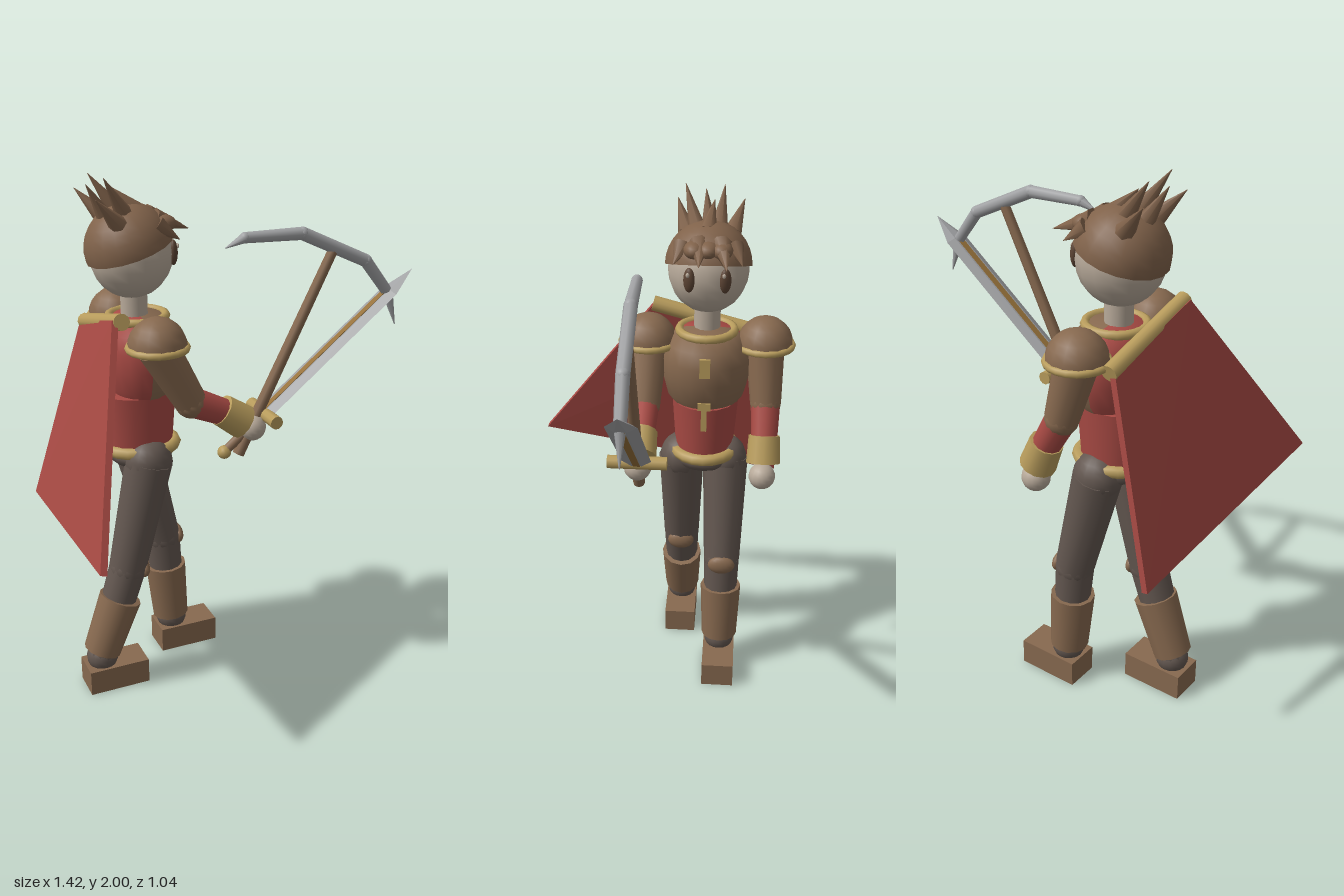
import * as THREE from 'three';
import { ConvexGeometry } from 'three/addons/geometries/ConvexGeometry.js';

const mat = (name, color) => Object.assign(new THREE.MeshStandardMaterial({ color }), { name });
const V = (x, y, z) => new THREE.Vector3(x, y, z);
const UP = V(0, 1, 0);

export function createModel() {
  const skin = mat('skin', 0xb8aa9a), brown = mat('leather brown', 0x87694f), hairMat = mat('hair brown', 0x80624a);
  const red = mat('cloth red', 0xa84a44), gold = mat('gold', 0xb89c5c), dark = mat('trouser grey', 0x635750);
  const steel = mat('steel', 0xa2a3a5), eyeMat = mat('eye brown', 0x5c4434), fullerMat = mat('bronze', 0x96713a);
  red.side = THREE.DoubleSide;
  brown.side = THREE.DoubleSide;
  hairMat.side = THREE.DoubleSide;
  const model = new THREE.Group();

  const add = (name, geo, m, pos) => {
    const mesh = new THREE.Mesh(geo, m);
    mesh.name = name;
    if (pos) mesh.position.copy(pos);
    model.add(mesh);
    return mesh;
  };
  const ball = (name, m, pos, sx, sy = sx, sz = sx) => {
    const b = add(name, new THREE.SphereGeometry(1, 16, 12), m, pos);
    b.scale.set(sx, sy, sz);
    return b;
  };
  // Tapered round bar from a to b
  const limb = (name, m, a, b, ra, rb = ra, sides = 12) => {
    const d = b.clone().sub(a);
    const c = add(name, new THREE.CylinderGeometry(rb, ra, d.length(), sides), m, a.clone().lerp(b, 0.5));
    c.quaternion.setFromUnitVectors(UP, d.normalize());
    return c;
  };
  const ring = (name, m, pos, R, tube, sx = 1) => {
    const r = add(name, new THREE.TorusGeometry(R, tube, 8, 20), m, pos);
    r.rotation.x = Math.PI / 2;
    r.scale.x = sx;
    return r;
  };
  const box = (name, m, pos, x, y, z) => add(name, new THREE.BoxGeometry(x, y, z), m, pos);

  // Torso: breastplate in front, cloth behind
  const profile = [[0.115, 1.17], [0.15, 1.22], [0.17, 1.3], [0.172, 1.37], [0.155, 1.43], [0.11, 1.48], [0, 1.49]]
    .map(([r, y]) => new THREE.Vector2(r, y));
  const plate = add('breastplate', new THREE.LatheGeometry(profile, 10, 0, Math.PI), brown, V(-0.32, 0, -0.185));
  plate.scale.x = 0.96;
  const back = add('backCloth', new THREE.LatheGeometry(profile, 10, Math.PI, Math.PI), red, V(-0.32, 0, -0.185));
  back.scale.x = 0.74;
  const waist = add('waist', new THREE.CylinderGeometry(0.13, 0.115, 0.21, 16), red, V(-0.325, 1.09, -0.185));
  waist.scale.x = 1.13;
  ring('belt', gold, V(-0.32, 0.975, -0.185), 0.118, 0.023, 1.12);
  ball('hips', dark, V(-0.32, 0.945, -0.185), 0.125, 0.06, 0.13);
  box('chestEmblem', gold, V(-0.158, 1.38, -0.185), 0.012, 0.075, 0.04);
  box('tabardBar', gold, V(-0.178, 1.215, -0.185), 0.02, 0.03, 0.05);
  box('tabardStrip', gold, V(-0.18, 1.165, -0.185), 0.015, 0.11, 0.022);

  // Neck and head
  limb('neck', skin, V(-0.325, 1.46, -0.185), V(-0.325, 1.58, -0.185), 0.05);
  ring('collar', gold, V(-0.315, 1.475, -0.185), 0.105, 0.017);
  const H = V(-0.33, 1.71, -0.185);
  ball('head', skin, H, 0.153, 0.162, 0.152);
  for (const s of [-1, 1]) {
    const eye = ball('eye', eyeMat, V(-0.193, 1.712, -0.185 + s * 0.066), 0.016, 0.046, 0.022);
    eye.rotation.y = -s * 0.4;
    ball('eyeHighlight', skin, V(-0.178, 1.735, -0.18 + s * 0.066), 0.005, 0.009, 0.007);
  }

  // Hair cap tilted back, with locks and spikes
  const cap = add('hairCap', new THREE.SphereGeometry(0.164, 18, 8, 0, Math.PI * 2, 0, Math.PI * 0.5), hairMat, V(-0.333, 1.725, -0.185));
  cap.rotation.z = 0.3;
  const spikes = [ // base x, y, z, tip x, y, z, radius
    [-0.36, 1.85, -0.14, -0.45, 1.995, -0.09, 0.035], [-0.36, 1.85, -0.22, -0.46, 1.99, -0.235, 0.035],
    [-0.4, 1.83, -0.27, -0.49, 1.93, -0.31, 0.035], [-0.4, 1.83, -0.1, -0.49, 1.93, -0.06, 0.035],
    [-0.41, 1.83, -0.185, -0.49, 1.965, -0.165, 0.035], [-0.31, 1.86, -0.18, -0.4, 1.95, -0.2, 0.035],
    [-0.25, 1.83, -0.23, -0.105, 1.78, -0.255, 0.04], [-0.25, 1.83, -0.15, -0.12, 1.785, -0.155, 0.04],
    [-0.26, 1.82, -0.09, -0.19, 1.77, -0.06, 0.035], [-0.26, 1.82, -0.28, -0.19, 1.77, -0.31, 0.035]];
  for (const [ax, ay, az, bx, by, bz, r] of spikes) limb('hairSpike', hairMat, V(ax, ay, az), V(bx, by, bz), r, 0.001, 7);
  for (const z of [-0.135, -0.185, -0.235]) ball('fringeLock', hairMat, V(-0.225, 1.815, z), 0.05, 0.032, 0.04);

  // Legs: right foot behind, left foot ahead
  const legs = [
    { z: -0.095, hip: [-0.32, 0.93], knee: [-0.42, 0.5], top: [-0.455, 0.375], low: [-0.54, 0.155], ankle: [-0.54, 0.13], pad: [-0.36, 0.49], foot: -0.49 },
    { z: -0.272, hip: [-0.31, 0.93], knee: [-0.21, 0.51], top: [-0.2, 0.38], low: [-0.183, 0.145], ankle: [-0.18, 0.13], pad: [-0.15, 0.51], foot: -0.125 }];
  for (const { z, hip, knee, top, low, ankle, pad, foot } of legs) {
    const P = ([x, y]) => V(x, y, z);
    ball('hipJoint', dark, P(hip), 0.092, 0.092, 0.085);
    limb('thigh', dark, P(knee), P(hip), 0.073, 0.09);
    ball('knee', dark, P(knee), 0.073);
    limb('shin', dark, P(ankle), P(knee), 0.06, 0.072);
    ball('kneePad', brown, P(pad), 0.025, 0.04, 0.055);
    limb('boot', brown, P(low), P(top), 0.073, 0.083);
    ball('ankle', dark, P(ankle), 0.062);
    box('foot', brown, V(foot, 0.05, z), 0.24, 0.1, 0.13);
  }

  // Arms with domed shoulder pads
  const arms = [
    { sh: V(-0.32, 1.42, 0.038), el: V(-0.2, 1.2, 0.045), cuffA: V(-0.08, 1.15, 0.045), cuffB: V(0.005, 1.09, 0.048), hand: V(0.042, 1.065, 0.05) },
    { sh: V(-0.32, 1.42, -0.408), el: V(-0.265, 1.2, -0.42), cuffA: V(-0.2, 1.09, -0.42), cuffB: V(-0.16, 0.99, -0.42), hand: V(-0.15, 0.937, -0.418) }];
  for (const { sh, el, cuffA, cuffB, hand } of arms) {
    const dome = add('shoulderPad', new THREE.SphereGeometry(0.108, 14, 6, 0, Math.PI * 2, 0, Math.PI / 2), brown, sh);
    dome.scale.y = 1.02;
    ring('shoulderPadRim', gold, sh, 0.103, 0.014);
    limb('upperArm', brown, el, sh, 0.06, 0.075);
    ball('elbow', brown, el, 0.06);
    limb('forearm', red, el, cuffA.clone().lerp(cuffB, 0.3), 0.057, 0.05);
    limb('cuff', gold, cuffA, cuffB, 0.06, 0.066);
    ball('hand', skin, hand, 0.052);
  }

  // Cape: a slanted slab hung from a rod
  limb('capeRod', gold, V(-0.445, 1.525, 0.03), V(-0.445, 1.41, -0.41), 0.03);
  const corners = [V(-0.465, 1.53, 0.02), V(-0.455, 1.41, -0.405), V(-0.655, 0.7, -0.485), V(-0.7, 0.843, 0.515)];
  const n = corners[1].clone().sub(corners[0]).cross(corners[3].clone().sub(corners[0])).normalize().multiplyScalar(0.012);
  add('cape', new ConvexGeometry(corners.flatMap(c => [c.clone().add(n), c.clone().sub(n)])), red);

  // Sword: built along local y, then tilted forward
  const sword = new THREE.Group();
  sword.name = 'sword';
  const part = (name, geo, m, y) => {
    const p = add(name, geo, m);
    p.position.y = y;
    sword.add(p);
    return p;
  };
  const hull = [[0, 0.053], [0.66, 0.053]].flatMap(([y, w]) =>
    [V(0, y, w), V(0, y, -w), V(0.016, y, 0.02), V(-0.016, y, 0.02), V(0.016, y, -0.02), V(-0.016, y, -0.02)]);
  part('swordBlade', new ConvexGeometry([...hull, V(0, 0.785, 0)]), steel, 0);
  for (const s of [-1, 1]) part('swordFuller', new THREE.BoxGeometry(0.004, 0.65, 0.026), fullerMat, 0.33).position.x = s * 0.016;
  part('swordGuard', new THREE.CylinderGeometry(0.025, 0.025, 0.22, 10), gold, 0).rotation.x = Math.PI / 2;
  part('swordGrip', new THREE.CylinderGeometry(0.018, 0.018, 0.2, 10), brown, -0.1);
  part('swordPommel', new THREE.SphereGeometry(0.026, 10, 8), gold, -0.208);
  sword.position.set(0.092, 1.11, 0.047);
  sword.rotation.z = -0.9;
  model.add(sword);

  // Pickaxe: straight handle and a curved head pointed at both ends
  limb('pickaxeHandle', brown, V(-0.015, 0.965, 0.05), V(0.36, 1.7, 0.05), 0.023, 0.019, 8);
  const head = [[-0.065, 1.75, 0.002], [0.01, 1.78, 0.02], [0.235, 1.775, 0.024], [0.5, 1.65, 0.024], [0.6, 1.52, 0.022], [0.64, 1.39, 0.002]];
  for (let i = 0; i < head.length - 1; i++) {
    const [ax, ay, ar] = head[i], [bx, by, br] = head[i + 1];
    limb('pickaxeHead', steel, V(ax, ay, 0.05), V(bx, by, 0.05), ar, br, 8);
    if (i) ball('pickaxeJoint', steel, V(ax, ay, 0.05), ar);
  }
  return model;
}
